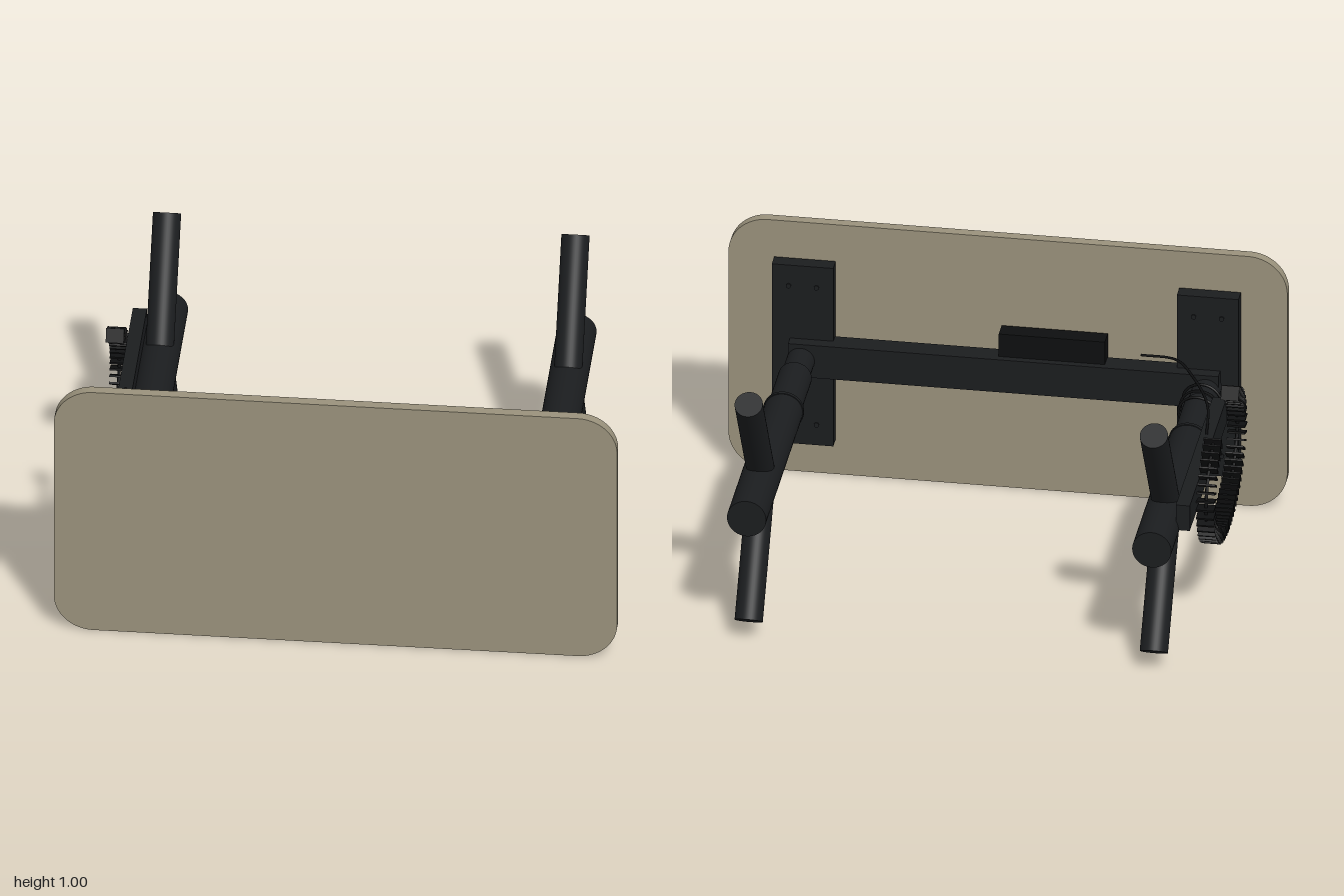
import * as THREE from 'three';

const black = new THREE.MeshStandardMaterial({ color: 0x1b1d1f });
const dark = new THREE.MeshStandardMaterial({ color: 0x0e0f10 });
const tan = new THREE.MeshStandardMaterial({ color: 0x9a927c });

export function createModel() {
  const root = new THREE.Group();
  root.name = 'deskOnItsSide';

  const add = (name, geometry, material, parent = root) => {
    const mesh = new THREE.Mesh(geometry, material);
    mesh.name = name;
    parent.add(mesh);
    return mesh;
  };
  // box given by its minimum and maximum corners
  const box = (name, a, b, material = black, parent = root) => {
    const mesh = add(name, new THREE.BoxGeometry(b[0] - a[0], b[1] - a[1], b[2] - a[2]), material, parent);
    mesh.position.set((a[0] + b[0]) / 2, (a[1] + b[1]) / 2, (a[2] + b[2]) / 2);
    return mesh;
  };
  // round bar between two points
  const bar = (name, a, b, r, parent = root, material = black) => {
    const p = new THREE.Vector3(...a), q = new THREE.Vector3(...b);
    const dir = q.clone().sub(p);
    const mesh = add(name, new THREE.CylinderGeometry(r, r, dir.length(), 40), material, parent);
    mesh.position.copy(p).add(q).multiplyScalar(0.5);
    mesh.quaternion.setFromUnitVectors(new THREE.Vector3(0, 1, 0), dir.normalize());
    return mesh;
  };
  const wire = (name, points, r, segments) => add(name, new THREE.TubeGeometry(
    new THREE.CatmullRomCurve3(points.map(p => new THREE.Vector3(...p))), segments, r, 6), dark);

  // tabletop with rounded corners
  const r = 0.14, s = new THREE.Shape();
  s.absarc(1 - r, 1 - r, r, 0, Math.PI / 2);
  s.absarc(-1 + r, 1 - r, r, Math.PI / 2, Math.PI);
  s.absarc(-1 + r, r, r, Math.PI, Math.PI * 1.5);
  s.absarc(1 - r, r, r, Math.PI * 1.5, Math.PI * 2);
  const top = add('tabletop', new THREE.ExtrudeGeometry(s, { depth: 0.038, bevelEnabled: false, curveSegments: 16 }), tan);
  top.position.z = 0.629;

  // crossbeam and control box
  box('crossbeam', [-0.77, 0.435, 0.525], [0.77, 0.565, 0.605]);
  box('controlBox', [-0.36, 0.55, 0.55], [0.02, 0.655, 0.615], dark);

  // a leg at each end: mounting plate, telescoping column and two splayed feet
  for (const side of [-1, 1]) {
    const leg = new THREE.Group();
    leg.name = side > 0 ? 'leftLeg' : 'rightLeg';
    root.add(leg);
    const x = side * 0.725;
    box('mountingPlate', [x - 0.11, 0.143, 0.568], [x + 0.11, 0.857, 0.622], black, leg);
    for (const y of [0.225, 0.775])
      for (const dx of [-0.05, 0.05])
        bar('plateScrew', [x + dx, y, 0.58], [x + dx, y, 0.563], 0.009, leg);
    bar('innerColumn', [x, 0.5, 0.57], [x, 0.5, 0.39], 0.05, leg);
    bar('middleColumn', [x, 0.5, 0.402], [x, 0.5, 0.14], 0.06, leg);
    bar('outerColumn', [x, 0.5, 0.15], [x, 0.5, -0.667], 0.07, leg);
    bar('columnCollar', [x, 0.5, 0.156], [x, 0.5, 0.142], 0.073, leg);
    for (const up of [-1, 1])
      bar('foot', [x, 0.5, -0.334], [x, 0.5 + up * 0.434, -0.62], 0.05, leg);
  }

  // hand controller below the right plate
  box('handController', [-0.66, 0.02, 0.598], [-0.55, 0.135, 0.624], dark);
  box('controllerMount', [-0.63, 0.11, 0.58], [-0.58, 0.147, 0.61], dark);

  // cable tray along the right leg
  box('cableTray', [-0.835, 0.5, -0.505], [-0.785, 0.6, 0.31]);

  // cable chain: an open oval of thin links on a cord
  const t0 = 57 * Math.PI / 180, t1 = -237 * Math.PI / 180, links = 52;
  const oval = t => [-0.867, 0.5 + 0.222 * Math.sin(t), 0.345 * Math.cos(t)];
  const cord = [];
  for (let i = 0; i <= 30; i++) cord.push(oval(t0 + (t1 - t0) * i / 30));
  wire('chainCord', cord, 0.006, 90);
  const path = new THREE.CatmullRomCurve3(cord.map(p => new THREE.Vector3(...p)));
  for (let i = 0; i < links; i++) {
    const u = i / (links - 1), d = path.getTangentAt(u);
    const link = add('chainLink', new THREE.BoxGeometry(0.064, 0.052, 0.007), dark);
    link.position.copy(path.getPointAt(u));
    link.rotation.x = Math.atan2(-d.y, d.z);
  }

  // cable from the beam to the tray, and its loops round the column
  wire('powerCable', [[-0.49, 0.615, 0.55], [-0.62, 0.629, 0.51], [-0.7, 0.624, 0.4],
    [-0.78, 0.616, 0.22], [-0.81, 0.602, 0.02]], 0.005, 50);
  const coil = [];
  for (let i = 0; i <= 40; i++) {
    const a = i / 40 * Math.PI * 5;
    coil.push([-0.725 + 0.072 * Math.cos(a), 0.5 + 0.07 * Math.sin(a), 0.46 - 0.12 * i / 40]);
  }
  wire('coiledCable', coil, 0.005, 120);

  return root;
}
